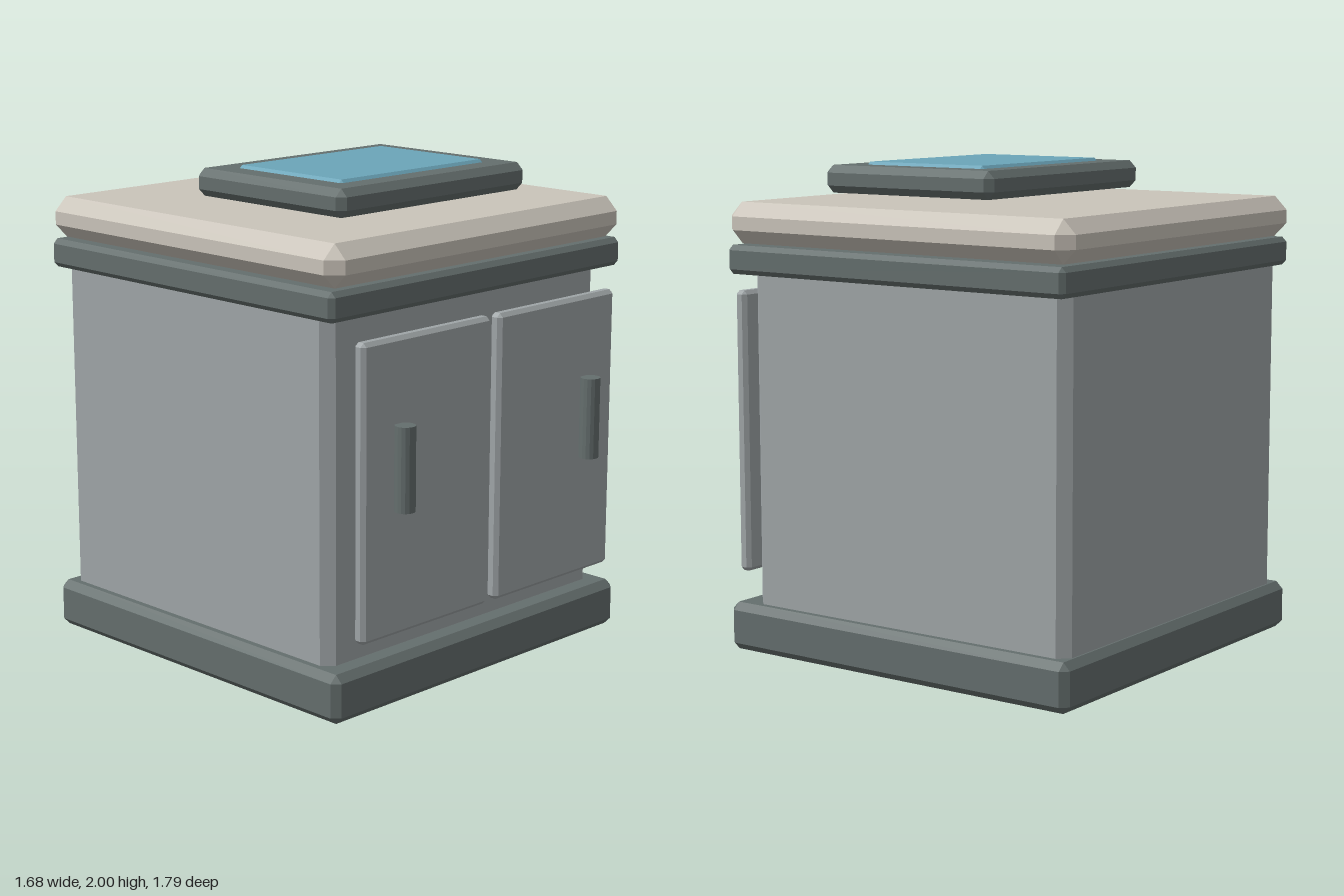
import * as THREE from 'three';
import { ConvexGeometry } from 'three/addons/geometries/ConvexGeometry.js';

const material = (name, color) => {
  const m = new THREE.MeshStandardMaterial({ color });
  m.name = name;
  return m;
};

// Box with chamfered edges, given its limits on each axis
function chamferBox([x0, x1], [y0, y1], [z0, z1], c) {
  const half = [(x1 - x0) / 2, (y1 - y0) / 2, (z1 - z0) / 2];
  const points = [];
  for (const sx of [-1, 1]) for (const sy of [-1, 1]) for (const sz of [-1, 1]) {
    for (let axis = 0; axis < 3; axis++) {
      const p = half.map((h, i) => (i === axis ? h : h - c));
      points.push(new THREE.Vector3(sx * p[0], sy * p[1], sz * p[2]));
    }
  }
  return new ConvexGeometry(points).translate((x0 + x1) / 2, (y0 + y1) / 2, (z0 + z1) / 2);
}

export function createModel() {
  const group = new THREE.Group();
  group.name = 'cabinet';
  const bodyGrey = material('body grey', 0x9fa5a7);
  const darkGrey = material('dark grey', 0x646e6d);
  const stone = material('warm stone', 0xcac4ba);
  const glass = material('blue glass', 0x6ba5b9);

  const add = (name, geometry, mat) => {
    const mesh = new THREE.Mesh(geometry, mat);
    mesh.name = name;
    group.add(mesh);
    return mesh;
  };

  // Cabinet carcass, plinth and upper trim
  add('base', chamferBox([-0.84, 0.84], [0, 0.198], [-0.895, 0.783], 0.03), darkGrey);
  add('body', chamferBox([-0.785, 0.785], [0.12, 1.62], [-0.857, 0.684], 0.044), bodyGrey);
  add('upperTrim', chamferBox([-0.84, 0.84], [1.556, 1.673], [-0.877, 0.762], 0.02), darkGrey);

  // Worktop, floating just above the trim
  add('worktop', chamferBox([-0.84, 0.84], [1.678, 1.845], [-0.895, 0.778], 0.056), stone);

  // Display panel
  add('displayFrame', chamferBox([-0.535, 0.535], [1.876, 1.988], [-0.328, 0.507], 0.03), darkGrey);
  add('displayGlass', chamferBox([-0.41, 0.41], [1.95, 2], [-0.203, 0.382], 0.012), glass);

  // Paired doors and handles
  for (const [side, s] of [['left', 1], ['right', -1]]) {
    const xs = [0.023 * s, 0.733 * s].sort((a, b) => a - b);
    add(side + 'Door', chamferBox(xs, [0.307, 1.477], [0.763, 0.82], 0.016), bodyGrey);
    const handle = add(side + 'Handle',
      new THREE.CylinderGeometry(0.041, 0.041, 0.335, 16).toNonIndexed(), darkGrey);
    handle.geometry.computeVertexNormals();
    handle.position.set(0.545 * s, 0.977, 0.855);
  }

  return group;
}
